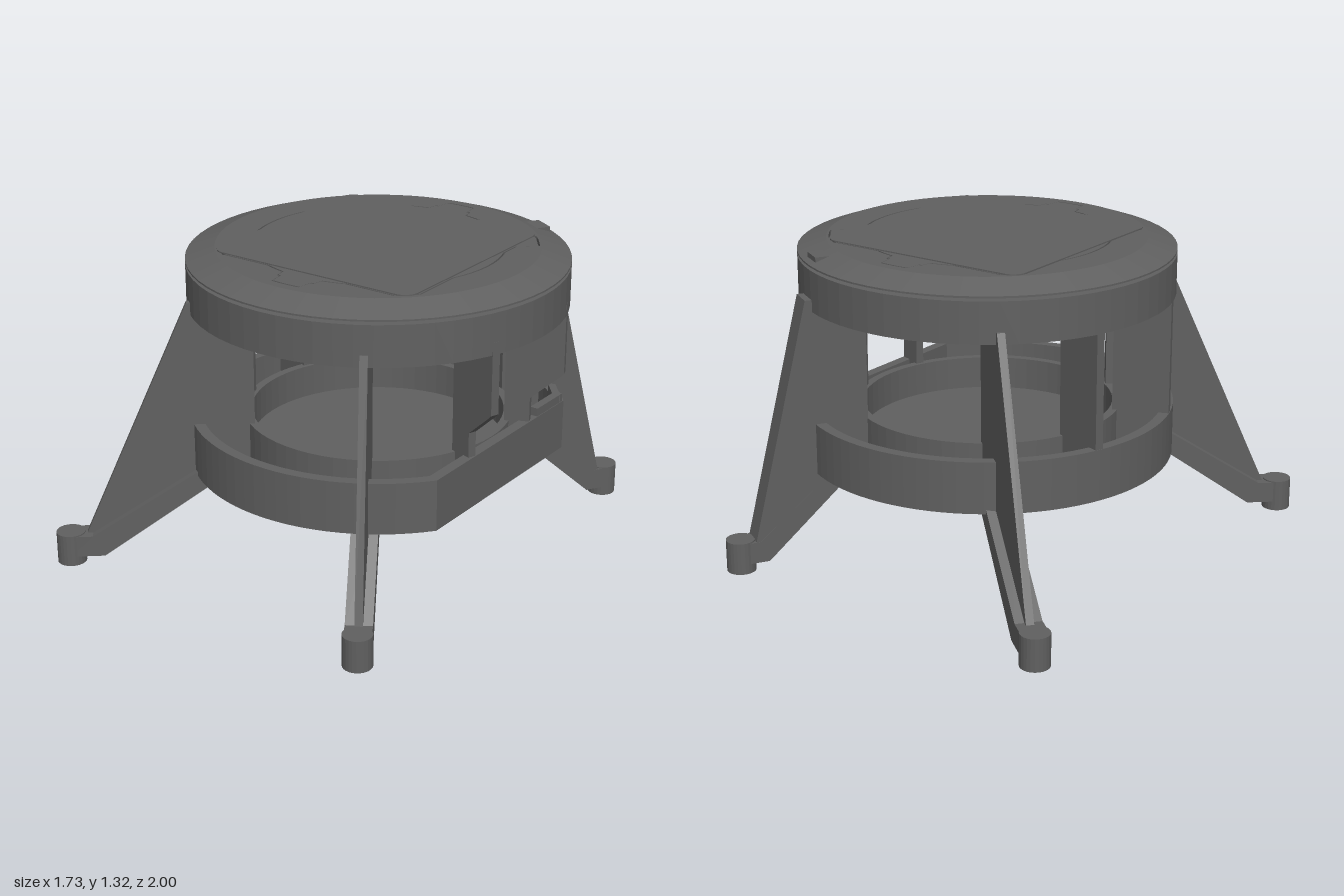
import * as THREE from 'three';

const CX = 0.085; // axis of the round parts
const mat = new THREE.MeshStandardMaterial({ color: 0x606060, flatShading: true, side: THREE.DoubleSide });

function add(parent, name, geo, x = 0, y = 0, z = 0) {
  const m = new THREE.Mesh(geo, mat);
  m.name = name;
  m.position.set(x, y, z);
  parent.add(m);
  return m;
}

const vectors = (pts) => pts.map(([x, y]) => new THREE.Vector2(x, y));
const toShape = (pts) => new THREE.Shape(vectors(pts));
const lathe = (pts, n = 64) => new THREE.LatheGeometry(vectors(pts), n);

// upright plate in the local xy plane, centred on its thickness
const plate = (pts, t) =>
  new THREE.ExtrudeGeometry(toShape(pts), { depth: t, bevelEnabled: false }).translate(0, 0, -t / 2);

// flat slab lying at y = 0 (shape y becomes -z)
const slab = (shape, h) =>
  new THREE.ExtrudeGeometry(shape, { depth: h, bevelEnabled: false, curveSegments: 8 }).rotateX(-Math.PI / 2);

// outline given as radius over angle
function polar(n, radius) {
  const pts = [];
  for (let i = 0; i < n; i++) {
    const a = (i / n) * Math.PI * 2, r = radius(Math.cos(a), Math.sin(a), a);
    pts.push([r * Math.cos(a), r * Math.sin(a)]);
  }
  return pts;
}

function withHole(outer, inner) {
  const s = toShape(outer);
  s.holes.push(new THREE.Path(vectors(inner)));
  return s;
}

// rectangle with rounded corners
function roundRect(x, y, r) {
  const s = new THREE.Shape();
  for (const [sx, sy, q] of [[1, 1, 0], [-1, 1, 1], [-1, -1, 2], [1, -1, 3]])
    s.absarc(sx * (x - r), sy * (y - r), r, (q * Math.PI) / 2, ((q + 1) * Math.PI) / 2);
  return s;
}

// circle with one flat at +x
const trimmedCircle = (inset) => {
  const R = 0.78 - inset, flat = 0.615 - inset, a = Math.acos(flat / R), pts = [];
  for (let i = 0; i <= 72; i++) {
    const t = a + (i / 72) * 2 * (Math.PI - a);
    pts.push([R * Math.cos(t), R * Math.sin(t)]);
  }
  return pts;
};

// cover outline: circle joined with the square panel, front and back tabs and one corner tab
const coverOutline = (inset) => polar(240, (c, s, a) => {
  const square = Math.min(0.485 / Math.max(Math.abs(c), Math.abs(s)), 0.64);
  const tab = Math.abs(c) < 0.115 ? 0.62 : Math.abs(c) < 0.16 ? 0.56 : 0;
  const corner = Math.abs(a - 0.64) < 0.1 ? 0.65 : 0;
  return Math.max(0.52, square, tab, corner) - inset;
});

// leg running from its inner edge to the foot; top is the share of its length at the upper end
function makeLeg(name, inner, foot, top, wide) {
  const g = new THREE.Group();
  g.name = name;
  const dx = foot[0] - inner[0], dz = foot[1] - inner[1], L = Math.hypot(dx, dz);
  const at = (pts) => pts.map(([t, y]) => [t * L, y]);
  const start = wide ? 0.07 : 0;
  const fin = at([[start, 0.42], [0.17, 0.42], [0.84, 0.08], [0.91, 0.13], [top, 1.13], [start, 1.13]]);
  const beam = at([[0.16, 0.39], [0.82, 0.04], [1, 0.04], [1, 0.13], [0.88, 0.13], [0.2, 0.46], [0.1, 0.46], [0.1, 0.39]]);
  if (wide) {
    for (const s of [-1, 1]) add(g, 'legFin', plate(fin, 0.025), 0, 0, s * 0.04);
    add(g, 'legCover', plate(at([[top, 1.13], [top - 0.06, 1.13], [0.85, 0.13], [0.91, 0.13]]), 0.105));
  } else {
    add(g, 'legFin', plate(fin, 0.032));
  }
  add(g, 'legBeam', plate(beam, 0.108));
  add(g, 'foot', new THREE.CylinderGeometry(0.06, 0.06, 0.135, 24), L, 0.0675, 0);
  g.position.set(inner[0], 0, inner[1]);
  g.rotation.y = Math.atan2(-dz, dx);
  return g;
}

export function createModel() {
  const model = new THREE.Group();
  model.name = 'roundStand';

  // upper ring: outer wall, recessed underside, inner collar
  add(model, 'upperRing', lathe([[0.52, 1.24], [0.52, 1.08], [0.57, 1.08], [0.57, 1.13], [0.735, 1.13],
    [0.735, 1.08], [0.78, 1.08], [0.78, 1.25], [0, 1.25]]), CX);

  // lid: shadow gap, sloping rim, flat top cut out for the cover
  add(model, 'lidRim', lathe([[0.74, 1.25], [0.74, 1.263], [0.78, 1.263], [0.78, 1.27], [0.66, 1.312]]), CX);
  add(model, 'lidTop', slab(withHole(polar(64, () => 0.66), coverOutline(0)), 0.022), CX, 1.29, 0);
  add(model, 'lidCover', slab(toShape(coverOutline(0.008)), 0.052), CX, 1.26, 0);
  add(model, 'lidPanel', slab(roundRect(0.478, 0.475, 0.06), 0.005), 0.08, 1.312, 0);

  // clip set into the rim above the wide leg
  const clip = add(model, 'rimClip', new THREE.BoxGeometry(0.1, 0.03, 0.1), 0.455, 1.284, -0.6);
  clip.rotation.y = Math.atan2(0.5, 0.3);

  // lower ring with one flat side
  add(model, 'lowerRing', slab(withHole(trimmedCircle(0), trimmedCircle(0.045)), 0.215), CX, 0.39, 0);

  // latch beside the right-hand flat
  add(model, 'latchStrip', new THREE.BoxGeometry(0.035, 0.05, 0.2), 0.68, 0.615, -0.37);
  const latch = new THREE.Group();
  latch.name = 'latch';
  add(latch, 'latchTab', new THREE.BoxGeometry(0.03, 0.1, 0.12), 0, 0.59, 0);
  add(latch, 'latchTabEnd', new THREE.CylinderGeometry(0.06, 0.06, 0.03, 24).rotateZ(Math.PI / 2), 0, 0.54, 0);
  latch.position.set(0.65, 0, -0.485);
  latch.rotation.y = 0.69;
  model.add(latch);

  // floor tray: disc with a low rim
  add(model, 'floorTray', lathe([[0, 0.41], [0.56, 0.41], [0.56, 0.6], [0.525, 0.6], [0.525, 0.46], [0, 0.46]]), CX);

  // ribs below the tray
  for (const [r, n] of [[0.1, 32], [0.24, 8], [0.4, 32]])
    add(model, 'trayRibRing', lathe([[r, 0.41], [r, 0.398], [r + 0.015, 0.398], [r + 0.015, 0.41]], n), CX);
  for (let i = 0; i < 8; i++) {
    const a = (i / 8) * Math.PI * 2;
    add(model, 'trayRib', new THREE.BoxGeometry(0.45, 0.012, 0.015), CX + 0.325 * Math.cos(a), 0.404, -0.325 * Math.sin(a))
      .rotation.y = a;
  }

  // radial posts between the rings, stepped on the flat side
  const stepped = [[0.54, 0.42], [0.62, 0.42], [0.645, 0.6], [0.645, 0.71], [0.765, 0.815], [0.78, 0.83], [0.78, 1.13], [0.54, 1.13]];
  const straight = [[0.54, 0.42], [0.778, 0.42], [0.778, 1.13], [0.54, 1.13]];
  for (const s of [-1, 1])
    for (const [angle, pts] of [[20, stepped], [160, straight]])
      add(model, 'post', plate(pts, 0.035), CX, 0, 0).rotation.y = s * THREE.MathUtils.degToRad(angle);

  // four splayed legs, the back left-hand one boxed in
  for (const s of [-1, 1]) {
    const end = s > 0 ? 'front' : 'back';
    model.add(makeLeg(end + 'RightLeg', [-0.22, s * 0.44], [-0.81, s * 0.94], 0.34, false));
    model.add(makeLeg(end + 'LeftLeg', [0.35, s * 0.44], [0.655, s * 0.94], s > 0 ? 0.46 : 0.5, s < 0));
  }
  return model;
}
